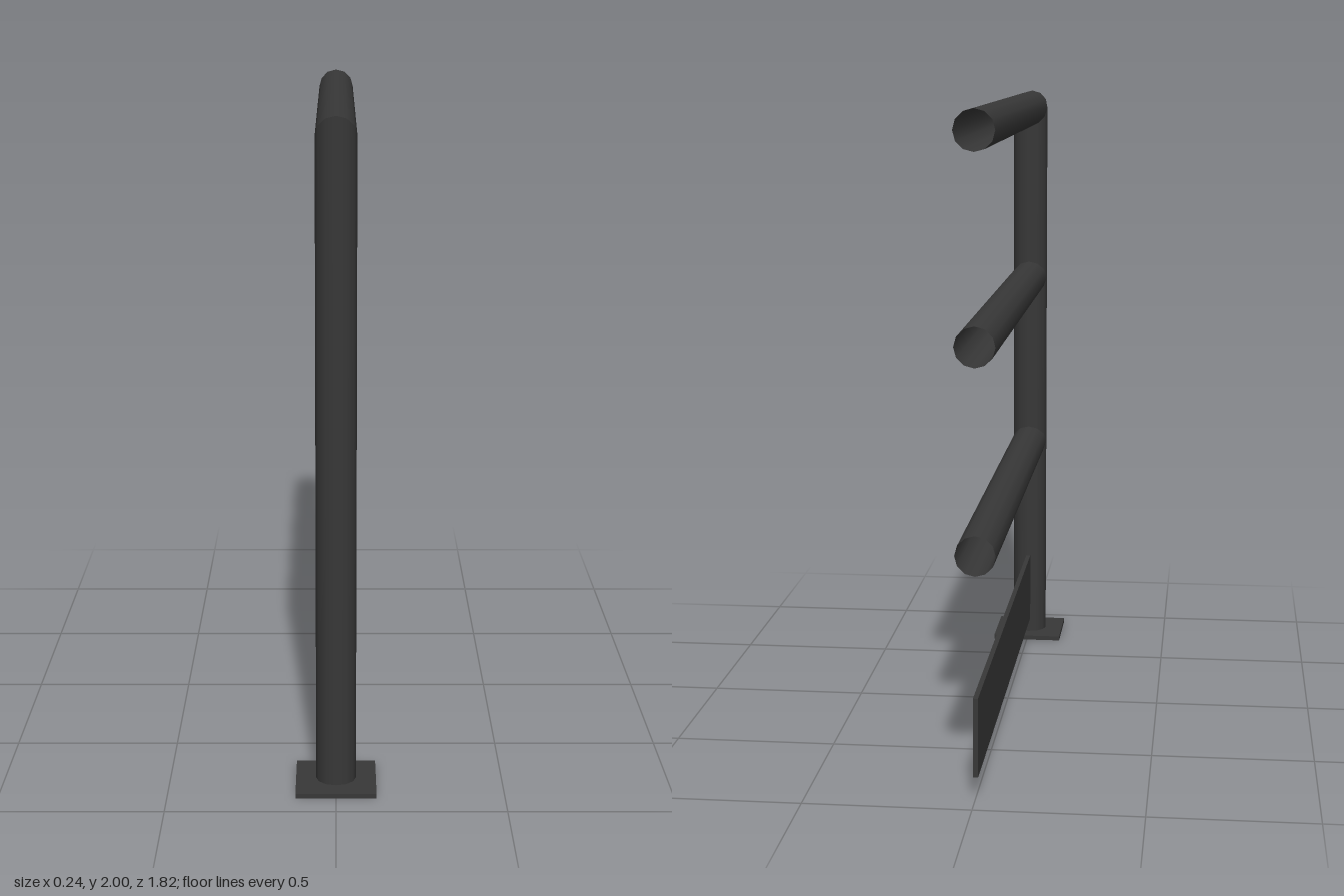
import * as THREE from 'three';

const R = 0.06;        // pipe radius
const POST_Z = 0.79;   // post axis
const END_Z = -0.91;   // open rail ends
const TOP_Y = 1.94;    // top rail axis
const PLATE = 0.015;   // steel plate thickness

export function createModel() {
  const group = new THREE.Group();
  const steel = new THREE.MeshStandardMaterial({ color: 0x383838 });
  steel.name = 'darkSteel';
  const openSteel = steel.clone(); // same colour, for the open pipes
  openSteel.side = THREE.DoubleSide;

  const add = (name, geometry, material, x, y, z) => {
    const mesh = new THREE.Mesh(geometry, material);
    mesh.name = name;
    mesh.position.set(x, y, z);
    group.add(mesh);
  };

  // Open pipe standing on y = 0, its top trimmed by a rule of the other coordinates
  const pipe = (length, trim) => {
    const g = new THREE.CylinderGeometry(R, R, length, 12, 1, true);
    g.translate(0, length / 2, 0);
    const p = g.attributes.position;
    for (let i = 0; i < p.count; i++) {
      if (p.getY(i) > length / 2) p.setY(i, length + trim(p.getZ(i)));
    }
    return g;
  };

  // Post, mitred at 45 degrees to meet the top rail
  add('post', pipe(TOP_Y - PLATE, z => z), openSteel, 0, PLATE, POST_Z);

  // Rails running back from the post: top one mitred, the others coped round the post
  const rail = (name, y, trim) => {
    const g = pipe(POST_Z - END_Z, trim);
    g.rotateX(Math.PI / 2);
    add(name, g, openSteel, 0, y, END_Z);
  };
  rail('topRail', TOP_Y, z => -z);
  rail('middleRail', 1.335, z => -Math.abs(z));
  rail('lowerRail', 0.73, z => -Math.abs(z));

  // Toe board and base plate
  const boardLength = POST_Z - R - END_Z;
  add('toeBoard', new THREE.BoxGeometry(PLATE, 0.24, boardLength), steel,
    0, 0.185, END_Z + boardLength / 2);
  add('basePlate', new THREE.BoxGeometry(0.24, PLATE, 0.24), steel, 0, PLATE / 2, POST_Z);

  return group;
}
